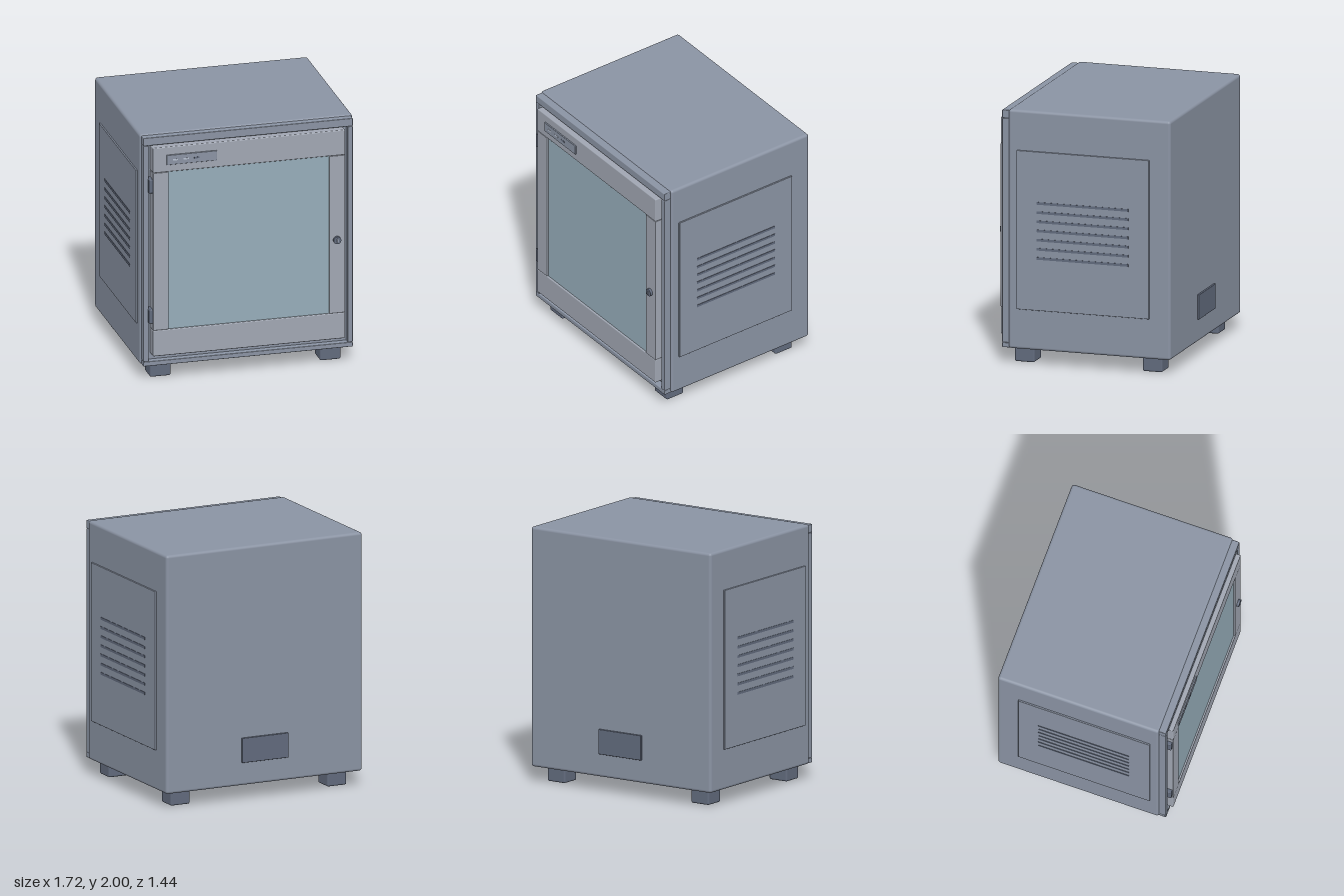
import * as THREE from 'three';
import { RoundedBoxGeometry } from 'three/addons/geometries/RoundedBoxGeometry.js';

const paint = (color) => new THREE.MeshStandardMaterial({ color });
const shellGrey = paint(0x8a93a3);
const doorGrey = paint(0xa0a6b2);
const darkGrey = paint(0x616a7c);
const glassBlue = paint(0x96acb9);
const lightGrey = paint(0xb9c2d2);

export function createModel() {
  const model = new THREE.Group();

  // Box given by its limits on each axis, optionally with rounded edges
  function box(name, [x0, x1], [y0, y1], [z0, z1], material, radius = 0) {
    const size = [x1 - x0, y1 - y0, z1 - z0];
    const geometry = radius
      ? new RoundedBoxGeometry(...size, 3, radius)
      : new THREE.BoxGeometry(...size);
    const mesh = new THREE.Mesh(geometry, material);
    mesh.name = name;
    mesh.position.set((x0 + x1) / 2, (y0 + y1) / 2, (z0 + z1) / 2);
    model.add(mesh);
    return mesh;
  }

  // Cabinet shell
  box('cabinetBody', [-0.845, 0.845], [0.12, 2], [-0.705, 0.605], shellGrey, 0.022);

  // Raised frame around the door
  const frameZ = [0.58, 0.66];
  box('frameTop', [-0.832, 0.832], [1.925, 1.99], frameZ, shellGrey, 0.006);
  box('frameBottom', [-0.832, 0.832], [0.122, 0.16], frameZ, shellGrey, 0.006);
  for (const s of [-1, 1]) {
    const xs = [s * 0.79, s * 0.832].sort((a, b) => a - b);
    box('frameSide', xs, [0.16, 1.925], frameZ, shellGrey, 0.006);
  }

  // Door: two rails, two stiles and a glass pane set slightly back
  const doorZ = [0.6, 0.695];
  box('doorTopRail', [-0.765, 0.762], [1.71, 1.915], doorZ, doorGrey, 0.008);
  box('doorBottomRail', [-0.765, 0.762], [0.21, 0.422], doorZ, doorGrey, 0.008);
  box('doorHingeStile', [-0.765, -0.64], [0.422, 1.71], doorZ, doorGrey, 0.005);
  box('doorLockStile', [0.635, 0.762], [0.422, 1.71], doorZ, doorGrey, 0.005);
  box('glassPane', [-0.645, 0.64], [0.415, 1.715], [0.64, 0.682], glassBlue);

  // Hinges
  for (const y of [0.535, 1.6]) {
    box('hinge', [-0.795, -0.76], [y - 0.057, y + 0.057], [0.605, 0.688], darkGrey, 0.008);
  }

  // Display with three indicators
  box('displayPanel', [-0.66, -0.26], [1.77, 1.85], [0.685, 0.706], shellGrey, 0.004);
  [-0.59, -0.505, -0.42].forEach((x, i) => {
    box('indicator', [x - 0.021, x + 0.021], [1.804, 1.816], [0.7, 0.7075],
      i < 2 ? lightGrey : darkGrey);
  });

  // Lock with a key slot
  const lock = new THREE.Mesh(new THREE.CylinderGeometry(0.03, 0.03, 0.024, 32), darkGrey);
  lock.name = 'doorLock';
  lock.rotation.x = Math.PI / 2;
  lock.position.set(0.695, 1.022, 0.702);
  model.add(lock);
  box('keySlot', [0.691, 0.699], [1.009, 1.035], [0.705, 0.72], lightGrey);

  // Side panels with louvres
  for (const s of [-1, 1]) {
    const span = (a, b) => [s * a, s * b].sort((p, q) => p - q);
    box('sidePanel', span(0.83, 0.857), [0.435, 1.685], [-0.535, 0.535], shellGrey, 0.004);
    for (let i = 0; i < 7; i++) {
      const y = 0.847 + i * 0.0722;
      box('louvre', span(0.85, 0.86), [y - 0.01, y + 0.01], [-0.37, 0.37], darkGrey);
    }
  }

  // Plate on the back
  box('backPlate', [-0.2, 0.2], [0.3, 0.495], [-0.72, -0.69], darkGrey, 0.004);

  // Feet
  for (const x of [-0.675, 0.675]) {
    for (const z of [-0.53, 0.503]) {
      box('foot', [x - 0.083, x + 0.083], [0, 0.135], [z - 0.08, z + 0.08], darkGrey, 0.014);
    }
  }

  return model;
}
